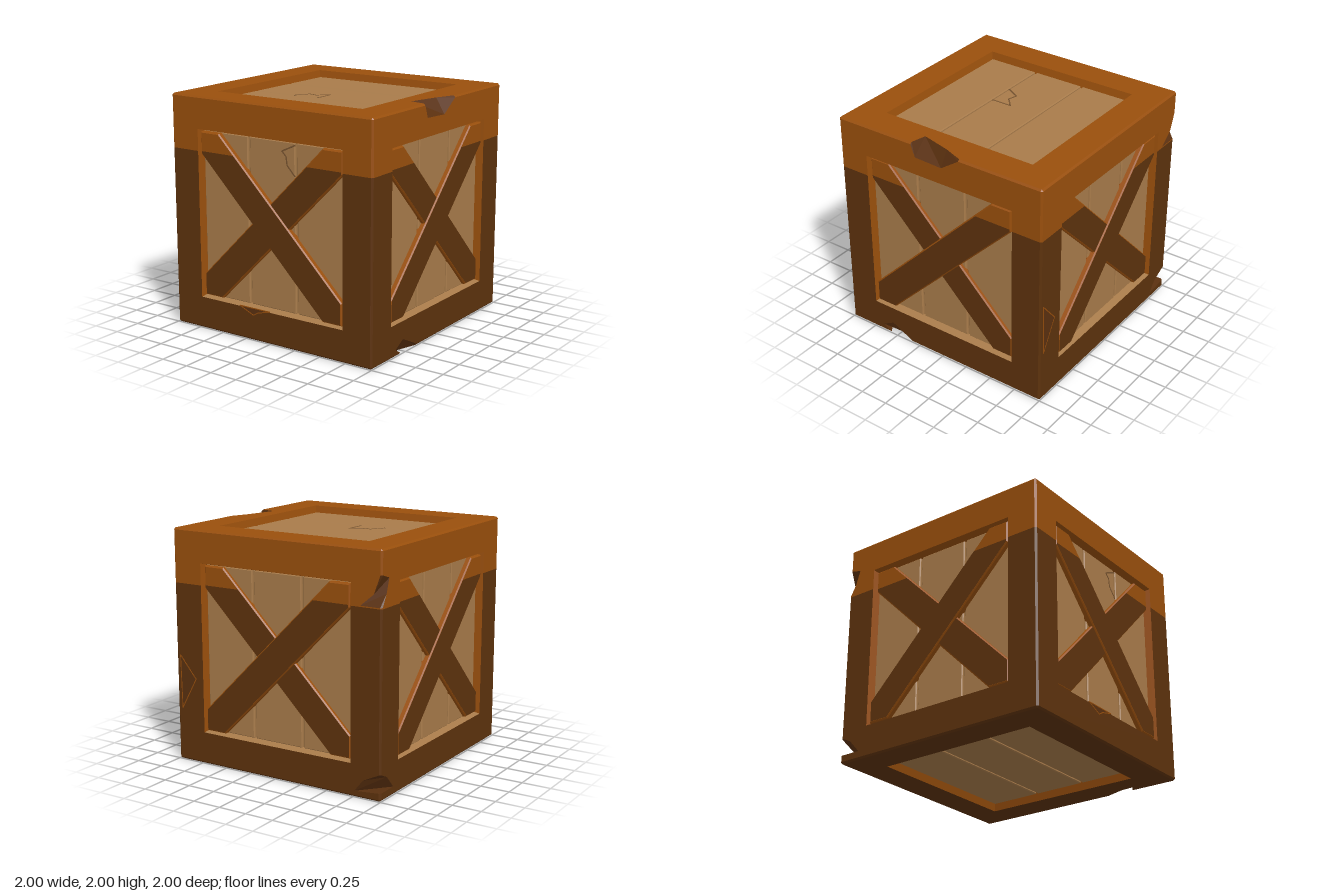
import * as THREE from 'three';

const mat = (name, color, side = THREE.FrontSide) => {
  const m = new THREE.MeshStandardMaterial({ color, side });
  m.name = name;
  return m;
};

const E = 0.985;   // flat part of each face, before the chamfer
const H = 0.725;   // half width of the opening
const S = 0.705;   // half width of the recessed panel
const L = 0.54;    // height of the paint line, from the centre
const FLOOR = 0.94; // panel surface, from the centre

export function createModel() {
  const orange = mat('orangeWood', 0x994f0c);
  const dark = mat('darkBrownPaint', 0x5d320d);
  const tan = mat('tanPlank', 0xa87b4a);
  const shade = mat('crackShade', 0x785430);
  const chipMat = mat('chippedWood', 0x5a300f, THREE.DoubleSide);

  const crate = new THREE.Group();
  crate.name = 'crate';

  const add = (parent, name, geo, material) => {
    const m = new THREE.Mesh(geo, material);
    m.name = name;
    parent.add(m);
    return m;
  };
  const shapeOf = pts => new THREE.Shape(pts.map(p => new THREE.Vector2(...p)));
  const flat = (pts, w) => new THREE.ShapeGeometry(shapeOf(pts)).translate(0, 0, w);
  const polygon = pts => { // fan of a small convex polygon in space
    const out = [];
    for (let i = 1; i < pts.length - 1; i++) out.push(...pts[0], ...pts[i], ...pts[i + 1]);
    const g = new THREE.BufferGeometry();
    g.setAttribute('position', new THREE.Float32BufferAttribute(out, 3));
    g.computeVertexNormals();
    return g;
  };
  // Bevelled slab from the recess floor up to the height top
  const slab = (pts, base, top, b = 0.01) => new THREE.ExtrudeGeometry(shapeOf(pts), {
    depth: top - base - b, bevelThickness: b, bevelSize: b, bevelOffset: -b, bevelSegments: 1,
  }).translate(0, 0, base);
  // Thin line along a path on a face
  const ribbon = (parent, name, pts, w, width, material) => {
    for (let i = 0; i < pts.length - 1; i++) {
      const [[ax, ay], [bx, by]] = [pts[i], pts[i + 1]];
      const g = new THREE.BoxGeometry(Math.hypot(bx - ax, by - ay) + width * 0.6, width, 0.004);
      g.rotateZ(Math.atan2(by - ay, bx - ax)).translate((ax + bx) / 2, (ay + by) / 2, w);
      add(parent, name, g, material);
    }
  };

  // Chips bitten from the edges, anticlockwise on each face:
  // b bottom, t top, r right, l left (l and r split into low and high)
  const faces = {
    front: { rot: [0, 0], lean: -1 },
    left: {
      rot: [0, Math.PI / 2], lean: 1,
      t: [[0.22, E], [0.05, 0.87], [-0.21, 0.88], [-0.25, E]],
      b: [[-0.58, -E], [-0.65, -0.94], [-0.54, -0.88], [-0.33, -E]],
    },
    back: {
      rot: [0, Math.PI], lean: 1,
      rLow: [[E, -0.93], [0.76, -0.95], [0.84, -0.85], [E, -0.78]],
      rHigh: [[E, 0.55], [0.81, 0.55], [0.93, 0.65], [E, 0.8]],
    },
    right: {
      rot: [0, -Math.PI / 2], lean: 1,
      lHigh: [[-E, 0.8], [-0.89, 0.77], [-0.93, 0.65], [-E, 0.55]],
      lLow: [[-E, -0.78], [-0.9, -0.82], [-0.8, -0.93], [-E, -0.93]],
    },
    top: { rot: [-Math.PI / 2, 0], rLow: [[E, -0.25], [0.85, -0.22], [0.92, 0.05], [E, 0.22]] },
    bottom: { rot: [Math.PI / 2, 0], rHigh: [[E, 0.33], [0.93, 0.5], [0.92, 0.62], [E, 0.58]] },
  };

  for (const [name, f] of Object.entries(faces)) {
    const g = f.group = new THREE.Group();
    g.name = name + 'Side';
    g.position.y = 1;
    g.rotation.set(f.rot[0], f.rot[1], 0);
    crate.add(g);
    g.updateMatrixWorld(true);
    const isSide = f.lean !== undefined;
    const line = isSide ? L : name === 'top' ? L : 0;
    const { t = [], b = [], rLow = [], rHigh = [], lLow = [], lHigh = [] } = f;

    // Frame in two halves, meeting at the paint line
    add(g, 'frameLower', flat([[-E, line], ...lLow, [-E, -E], ...b, [E, -E], ...rLow,
      [E, line], [H, line], [H, -H], [-H, -H], [-H, line]], 1), name === 'top' ? orange : dark);
    add(g, 'frameUpper', flat([[E, line], ...rHigh, [E, E], ...t, [-E, E], ...lHigh,
      [-E, line], [-H, line], [-H, H], [H, H], [H, line]], 1), name === 'bottom' ? dark : orange);

    // Sloping walls of the opening
    const ring = [[-1, -1], [1, -1], [1, 1], [-1, 1]];
    ring.forEach((p, i) => {
      const q = ring[(i + 1) % 4];
      add(g, 'openingWall', polygon([[p[0] * H, p[1] * H, 1], [q[0] * H, q[1] * H, 1],
        [q[0] * S, q[1] * S, 0.92], [p[0] * S, p[1] * S, 0.92]]), isSide && i === 0 ? tan : orange);
    });

    // Recessed planks with grooves between them
    add(g, 'panelBacking', new THREE.PlaneGeometry(1.44, 1.44).translate(0, 0, 0.922), tan);
    for (const [a, c] of [[-0.71, -0.247], [-0.228, 0.228], [0.247, 0.71]]) {
      const geo = slab([[a, -0.71], [c, -0.71], [c, 0.71], [a, 0.71]], 0.92, FLOOR, 0.008);
      if (!isSide) geo.rotateZ(Math.PI / 2);
      add(g, 'plank', geo, tan);
    }
    if (!isSide) continue;

    // Crossed braces: one proud of the other, painted below the line
    for (const [lean, height] of [[f.lean, 0.985], [-f.lean, 0.972]]) {
      const turn = pts => lean > 0 ? pts : pts.map(([x, y]) => [-x, y]).reverse();
      const band = (s, c, cut) => turn([[-s, -s], [c - s, -s], [s, s - c],
        ...(cut ? [[s, L], [L - c, L]] : [[s, s], [s - c, s]]), [-s, c - s]]);
      add(g, 'brace', slab(band(S, 0.188), 0.93, height), orange);
      add(g, 'bracePaint', flat(band(S - 0.011, 0.174, true), height + 0.002), dark);
    }

    // Chamfers along the top, bottom and right-hand edges, leaving out the chips
    const spans = (stops, chips, axis) => {
      const cuts = chips.filter(c => c.length).map(c => [c[0][axis], c[c.length - 1][axis]].sort((x, y) => x - y));
      const all = [...stops, ...cuts.flat()].sort((x, y) => x - y);
      return all.slice(1).map((v, i) => [all[i], v])
        .filter(([x, y]) => !cuts.some(c => x >= c[0] - 1e-6 && y <= c[1] + 1e-6));
    };
    for (const [x, y] of spans([-E, E], [t], 0))
      add(g, 'topChamfer', polygon([[x, E, 1], [y, E, 1], [y, 1, E], [x, 1, E]]), orange);
    for (const [x, y] of spans([-E, E], [b], 0))
      add(g, 'bottomChamfer', polygon([[x, -1, E], [y, -1, E], [y, -E, 1], [x, -E, 1]]), dark);
    for (const [x, y] of spans([-E, L, E], [rLow, rHigh], 1))
      add(g, 'cornerChamfer', polygon([[E, x, 1], [1, x, E], [1, y, E], [E, y, 1]]), y > L + 0.001 ? orange : dark);
    add(g, 'cornerTip', polygon([[E, E, 1], [1, E, E], [E, 1, E]]), orange);
    add(g, 'cornerTip', polygon([[E, -E, 1], [E, -1, E], [1, -E, E]]), dark);
  }

  // Broken wood filling each chip between its two faces
  const chips = [['left', 't', 'top', 'rLow'], ['left', 'b', 'bottom', 'rHigh'],
    ['back', 'rLow', 'right', 'lLow'], ['back', 'rHigh', 'right', 'lHigh']];
  for (const [fa, ka, fb, kb] of chips) {
    const world = (f, k) => faces[f][k].map(([x, y]) =>
      new THREE.Vector3(x, y, 1).applyMatrix4(faces[f].group.matrixWorld).toArray());
    const P = world(fa, ka), Q = world(fb, kb).reverse();
    for (let i = 0; i < P.length - 1; i++)
      add(crate, 'edgeChip', polygon([P[i], P[i + 1], Q[i + 1], Q[i]]), chipMat);
  }

  // Shallow chips within the frame faces, with a bare wood rim
  const scar = (face, pts) => {
    add(face, 'frameChip', flat(pts, 1.001), chipMat);
    ribbon(face, 'chipRim', [...pts, pts[0]], 1.0, 0.008, orange);
  };
  scar(faces.front.group, [[-0.31, -0.72], [-0.17, -0.78], [-0.12, -0.75], [0, -0.72]]);
  scar(faces.back.group, [[-0.95, -0.54], [-0.8, -0.27], [-0.96, -0.08]]);

  // Cracks in the front and top planks
  ribbon(faces.front.group, 'frontCrack',
    [[0.23, 0.69], [0.1, 0.63], [0.14, 0.59], [0.15, 0.52], [0.225, 0.44]], FLOOR, 0.012, shade);
  ribbon(faces.top.group, 'topCrack',
    [[-0.3, -0.23], [-0.23, -0.11], [-0.15, -0.13], [-0.06, -0.05], [-0.06, -0.23]], FLOOR, 0.012, shade);

  return crate;
}
